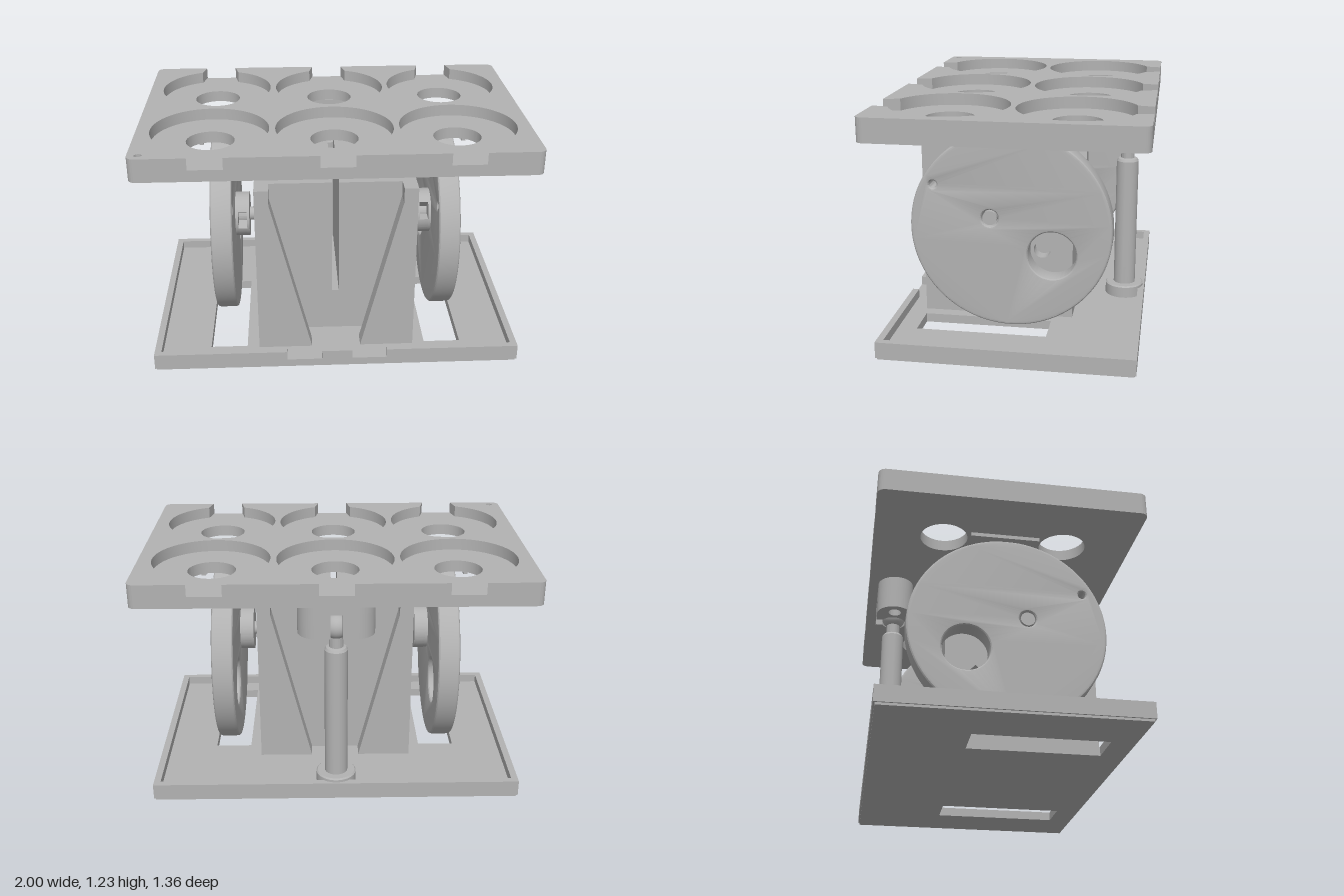
import * as THREE from 'three';
import { toCreasedNormals } from 'three/addons/utils/BufferGeometryUtils.js';

const grey = new THREE.MeshStandardMaterial({ color: 0xb2b2b2 });

export function createModel() {
  const model = new THREE.Group();

  const add = (name, geometry, x = 0, y = 0, z = 0) => {
    const mesh = new THREE.Mesh(geometry, grey);
    mesh.name = name;
    mesh.position.set(x, y, z);
    model.add(mesh);
    return mesh;
  };
  const extrude = (shape, depth, options = {}) => toCreasedNormals(
    new THREE.ExtrudeGeometry(shape, { depth, bevelEnabled: false, curveSegments: 40, ...options }), 0.5);
  // Box given by its limits
  const box = (name, x0, x1, y0, y1, z0, z1) => add(name,
    new THREE.BoxGeometry(x1 - x0, y1 - y0, z1 - z0), (x0 + x1) / 2, (y0 + y1) / 2, (z0 + z1) / 2);
  // Plan shape (x, z) made solid between two heights
  const slab = (name, shape, y0, y1) => add(name, extrude(shape, y1 - y0).rotateX(Math.PI / 2), 0, y1, 0);
  // Side shape (z, y) made solid between two x positions
  const sidePlate = (name, shape, x0, x1) => add(name, extrude(shape, x1 - x0).rotateY(-Math.PI / 2), x1, 0, 0);

  const poly = (points) => new THREE.Shape(points.map(([x, y]) => new THREE.Vector2(x, y)));
  const rect = (x0, x1, y0, y1) => poly([[x0, y0], [x1, y0], [x1, y1], [x0, y1]]);
  const circle = (x, y, r) => new THREE.Shape().absarc(x, y, r, 0, Math.PI * 2, false);
  const teardrop = (x, y, r) => {
    const s = new THREE.Shape().absarc(x, y, r, Math.PI * 0.75, Math.PI * 2.25, false);
    s.lineTo(x, y + r * Math.SQRT2);
    s.closePath();
    return s;
  };

  // ---- Top plate: pierced floor and pocketed upper layer ----
  const W = 1, D = 0.68, R = 0.04, cz = 0.315, columns = [0.63, 0, -0.63];
  const corner = (shape, s, side, start) =>
    shape.absarc(-s * (W - R), s * side * (D - R), R, start, start + Math.PI / 2, false);

  const floorShape = new THREE.Shape();
  const upperShape = new THREE.Shape();
  for (const s of [1, -1]) {
    const turn = s > 0 ? 0 : Math.PI;
    const half = Math.PI / 2;
    for (const c of columns) {
      const a = Math.asin(0.105 / 0.3);
      const first = s > 0 && c === columns[0];
      upperShape[first ? 'moveTo' : 'lineTo'](s * (c + 0.085), s * D);
      upperShape.lineTo(s * (c + 0.105), s * (cz + 0.3 * Math.cos(a)));
      upperShape.absarc(s * c, s * cz, 0.3, half - a + turn, half + a + turn, true);
      upperShape.lineTo(s * (c - 0.085), s * D);
    }
    for (const shape of [floorShape, upperShape]) {
      corner(shape, s, 1, half + turn);
      corner(shape, s, -1, Math.PI + turn);
    }
    for (const c of columns) floorShape.holes.push(circle(c, s * cz, 0.123));
  }
  upperShape.closePath();
  floorShape.closePath();
  upperShape.holes.push(circle(-0.945, 0.635, 0.018));
  slab('topPlateFloor', floorShape, 1.112, 1.172);
  slab('topPlatePockets', upperShape, 1.172, 1.233);

  // ---- Base tray with a slot below each wheel ----
  const bx = 0.965, bz = 0.645, wall = 0.035;
  const tray = (inset) => {
    const s = rect(-bx + inset, bx - inset, -bz + inset, bz - inset);
    s.holes.push(rect(0.48, 0.675, -0.17, 0.51), rect(-0.675, -0.48, -0.17, 0.51));
    return s;
  };
  slab('baseUnderside', tray(0.008), 0, 0.012);
  slab('baseFloor', tray(0), 0.012, 0.048);
  box('baseRimBack', -bx, bx, 0.048, 0.095, -bz, -bz + wall);
  for (const [x0, x1] of [[-bx, -0.265], [-0.08, 0.08], [0.265, bx]])
    box('baseRimFront', x0, x1, 0.048, 0.095, bz - wall, bz);
  for (const s of [-1, 1]) {
    const x = s * (bx - wall / 2);
    box('baseRimSide', x - wall / 2, x + wall / 2, 0.048, 0.095, -bz + wall, bz - wall);
  }

  // ---- Central tower: slotted core, side walls and tapered gussets ----
  const top = 0.98, low = 0.34, foot = 0.046, inner = 0.342, outer = 0.415;
  const backFace = -0.185, frontFace = 0.435;
  const core = poly([[-inner, low], [inner, low], [inner, top], [0.018, top],
    [0.018, low + 0.002], [-0.018, low + 0.002], [-0.018, top], [-inner, top]]);
  add('towerCore', extrude(core, frontFace - backFace), 0, 0, backFace);
  box('towerLowerCore', -inner, inner, foot, low, backFace, 0.345);

  for (const s of [-1, 1]) {
    const span = (a, b) => (s > 0 ? [a, b] : [-b, -a]);
    const side = rect(-0.275, 0.525, foot, top);
    side.holes.push(teardrop(0.123, 0.66, 0.05), teardrop(-0.113, 0.425, 0.045));
    sidePlate('towerSideWall', side, ...span(inner, outer));
    const gusset = poly([[s * inner, foot], [s * 0.13, foot], [s * inner, 0.9]]);
    add('frontGusset', extrude(gusset, 0.525 - frontFace), 0, 0, frontFace);
    add('backGusset', extrude(gusset, backFace + 0.275), 0, 0, -0.275);

    // ---- Eccentric wheel ----
    const disc = circle(0.018, 0.602, 0.515);
    disc.holes.push(circle(-0.193, 0.476, 0.123), circle(0.412, 0.825, 0.019), circle(0.123, 0.66, 0.042));
    const bevel = 0.015, [w0, w1] = span(0.53, 0.643);
    const wheel = extrude(disc, w1 - w0 - 2 * bevel, {
      bevelEnabled: true, bevelSize: bevel, bevelThickness: bevel, bevelOffset: -bevel,
      bevelSegments: 3, curveSegments: 72,
    }).rotateY(-Math.PI / 2);
    add('wheel', wheel, w1 - bevel, 0, 0);

    // ---- Axle and notched collar ----
    const [a0, a1] = span(0.345, 0.638);
    add('axle', new THREE.CylinderGeometry(0.037, 0.037, a1 - a0, 32).rotateZ(Math.PI / 2),
      (a0 + a1) / 2, 0.66, 0.123);
    const ring = circle(0.123, 0.66, 0.12);
    const mid = s > 0 ? 0.4 : 0.1, gap = 0.4;
    const notched = new THREE.Shape().absarc(0.123, 0.66, 0.12, mid + gap, mid - gap + Math.PI * 2, false);
    notched.absarc(0.123, 0.66, 0.055, mid - gap, mid + gap, false);
    notched.closePath();
    sidePlate('collarInner', ring, ...span(0.455, 0.468));
    sidePlate('collarMiddle', notched, ...span(0.468, 0.515));
    sidePlate('collarOuter', ring, ...span(0.515, 0.531));

    // ---- Guide rails under the top plate ----
    for (const x of [0.48, 0.69]) {
      const [r0, r1] = span(x - 0.011, x + 0.011);
      box('guideRail', r0, r1, 1.092, 1.113, -0.18, 0.18);
    }
  }

  // ---- Rear post with ball head ----
  const postZ = -0.53;
  const profile = [[0, 0.046], [0.105, 0.046], [0.105, 0.108], [0.098, 0.115], [0.06, 0.115], [0.06, 0.825],
    [0.052, 0.838], [0.037, 0.842], [0.037, 0.91]].map(([r, y]) => new THREE.Vector2(r, y));
  add('post', toCreasedNormals(new THREE.LatheGeometry(profile, 40), 0.5), 0, 0, postZ);
  add('postBall', new THREE.SphereGeometry(0.064, 32, 20), 0, 0.95, postZ);

  // ---- Ball socket bracket: rounded block, open to the back and below ----
  const half = Math.PI / 2, er = 0.098, ex = 0.097;
  const stadium = () => new THREE.Shape()
    .absarc(ex, postZ, er, -half, half, false)
    .absarc(-ex, postZ, er, half, half * 3, false);
  const lower = stadium();
  const slot = 0.03, sr = 0.068, sa = Math.asin(slot / sr);
  lower.lineTo(-slot, postZ - er);
  lower.absarc(0, postZ, sr, -half - sa, -half + sa - Math.PI * 2, true);
  lower.lineTo(slot, postZ - er);
  lower.closePath();
  for (const s of [-1, 1]) lower.holes.push(circle(s * 0.125, postZ, 0.035));
  slab('socketBracketLower', lower, 0.922, 1.05);
  slab('socketBracketUpper', stadium(), 1.05, 1.113);

  return model;
}
